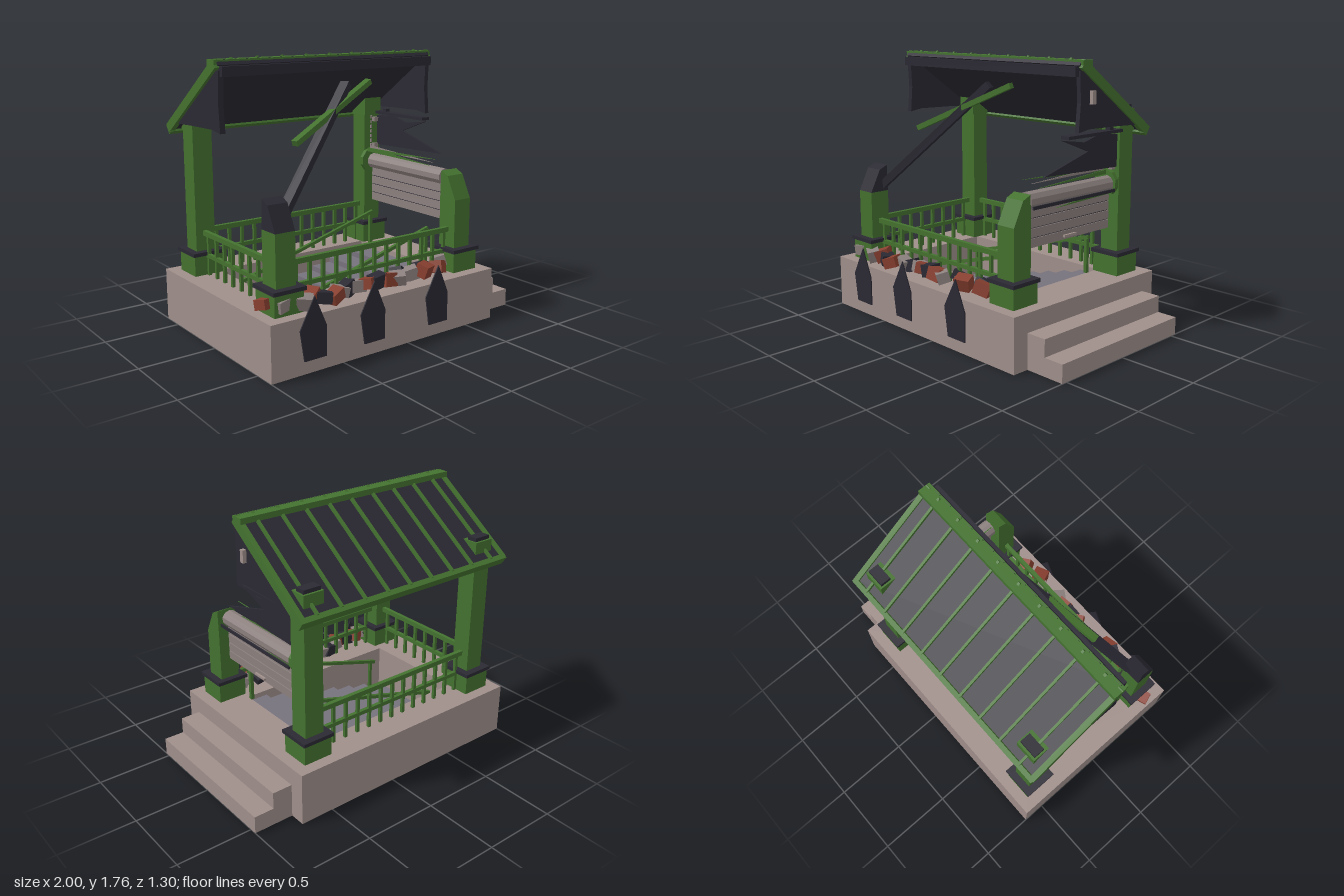
import * as THREE from 'three';

const paint = (color) => new THREE.MeshStandardMaterial({ color, side: THREE.DoubleSide, flatShading: true });

export function createModel() {
  const root = new THREE.Group();
  const stone = paint(0xa08f8b), green = paint(0x44722f), dark = paint(0x2b2933);
  const brick = paint(0x8a4030), tread = paint(0x77727c), slate = paint(0x8c817f);

  const add = (name, geo, mat, parent = root) => {
    const m = new THREE.Mesh(geo, mat);
    m.name = name;
    parent.add(m);
    return m;
  };
  // Box from its minimum and maximum corners
  const box = (name, mat, x0, x1, y0, y1, z0, z1, parent = root) => {
    const m = add(name, new THREE.BoxGeometry(x1 - x0, y1 - y0, z1 - z0), mat, parent);
    m.position.set((x0 + x1) / 2, (y0 + y1) / 2, (z0 + z1) / 2);
    return m;
  };
  // Square bar between two points
  const bar = (name, mat, a, b, w, h = w) => {
    const p = new THREE.Vector3(...a), q = new THREE.Vector3(...b);
    const m = add(name, new THREE.BoxGeometry(w, h, p.distanceTo(q)), mat);
    m.position.copy(p).lerp(q, 0.5);
    m.lookAt(q);
    return m;
  };
  const polygon = (pts) => new THREE.Shape(pts.map(([x, y]) => new THREE.Vector2(x, y)));
  // Plate with a (z, y) outline, thickened along x
  const sidePlate = (name, mat, pts, x0, x1) => {
    const g = new THREE.ExtrudeGeometry(polygon(pts), { depth: x1 - x0, bevelEnabled: false });
    const m = add(name, g, mat);
    m.rotation.y = -Math.PI / 2;
    m.position.x = x1;
    return m;
  };

  // Platform with the stairwell cut through it
  const slab = polygon([[-1, -0.645], [0.73, -0.645], [0.73, 0.65], [-1, 0.65]]);
  slab.holes.push(polygon([[-0.73, -0.32], [-0.73, 0.41], [0.46, 0.41], [0.46, -0.32]]));
  add('platform', new THREE.ExtrudeGeometry(slab, { depth: 0.345, bevelEnabled: false }), stone).rotation.x = -Math.PI / 2;
  box('entranceStepUpper', stone, 0.73, 0.865, 0, 0.225, -0.545, 0.535);
  box('entranceStepLower', stone, 0.865, 1, 0, 0.115, -0.545, 0.535);

  // Stairs going down towards -x
  box('stairwellFloor', paint(0x15151a), -0.73, 0.46, 0.004, 0.012, -0.41, 0.32);
  for (let i = 0; i < 8; i++) {
    const x1 = 0.46 - i * 0.14875;
    box('stairTread', tread, x1 - 0.14875, x1, 0.012, 0.31 - i * 0.037, -0.41, 0.32);
  }
  for (const z of [-0.3, 0.29]) {
    bar('stairHandrail', green, [0.47, 0.59, z], [-0.65, 0.27, z], 0.022);
    box('handrailPost', green, 0.44, 0.464, 0.345, 0.59, z - 0.012, z + 0.012);
    box('handrailPost', green, -0.62, -0.6, 0.03, 0.28, z - 0.01, z + 0.01);
  }

  // Corner plinths and posts
  for (const x of [-0.825, 0.55]) {
    for (const z of [-0.475, 0.47]) {
      box('plinth', green, x - 0.1, x + 0.1, 0.345, 0.476, z - 0.1, z + 0.1);
      box('plinthCap', dark, x - 0.112, x + 0.112, 0.476, 0.5, z - 0.112, z + 0.112);
    }
    box('rearPost', green, x - 0.067, x + 0.067, 0.5, 1.37, -0.54, -0.41);
    box('postHead', green, x - 0.072, x + 0.072, 1.28, 1.425, -0.545, -0.4);
    box('postHeadCap', dark, x - 0.06, x + 0.06, 1.425, 1.45, -0.53, -0.46);
    sidePlate('brokenFrontPost', green, [[0.535, 0.5], [0.535, 0.82], [0.395, 0.82], [0.395, 0.5]], x - 0.067, x + 0.067);
    sidePlate('brokenPostTop', x < 0 ? dark : green, [[0.535, 0.82], [0.46, 0.97], [0.40, 0.998], [0.395, 0.82]], x - 0.067, x + 0.067);
  }

  // Railings on the front, the back and the closed side
  const railing = (a, b, count) => {
    const at = (p, y) => [p[0], y, p[1]];
    bar('topRail', green, at(a, 0.617), at(b, 0.617), 0.028, 0.032);
    bar('lowerRail', green, at(a, 0.475), at(b, 0.475), 0.024, 0.026);
    for (let i = 0; i < count; i++) {
      const t = (i + 0.5) / count;
      const x = a[0] + (b[0] - a[0]) * t, z = a[1] + (b[1] - a[1]) * t;
      box('baluster', green, x - 0.01, x + 0.01, 0.345, 0.61, z - 0.01, z + 0.01);
    }
  };
  railing([-0.76, 0.465], [0.5, 0.465], 13);
  railing([-0.76, -0.475], [0.5, -0.475], 13);
  railing([-0.83, -0.41], [-0.83, 0.4], 8);

  // Surviving rear slope of the roof
  const roof = new THREE.Group();
  roof.name = 'roof';
  roof.position.set(0, 1.745, 0);
  roof.rotation.x = -0.615;
  root.add(roof);
  box('roofSheet', dark, -0.95, 0.67, -0.05, -0.012, -0.74, 0.03, roof);
  box('eave', green, -0.965, 0.69, -0.065, 0, -0.765, -0.73, roof);
  for (const [x0, x1] of [[-0.97, -0.935], [0.655, 0.69]]) box('verge', green, x0, x1, -0.06, 0, -0.75, 0.02, roof);
  for (let i = 0; i < 9; i++) {
    const x = -0.84 + i * 0.176;
    box('roofRib', green, x - 0.008, x + 0.008, -0.015, 0.008, -0.74, 0.02, roof);
  }
  box('ridgeBeam', green, -0.97, 0.69, 1.715, 1.752, -0.045, 0.04);
  box('ridgeRemnant', dark, -0.94, 0.665, 1.655, 1.715, 0.02, 0.08);
  const gable = [[0.05, 1.69], [0.04, 1.5], [0.055, 1.325], [-0.04, 1.34], [-0.3, 1.335], [-0.54, 1.325], [-0.02, 1.69]];
  sidePlate('gable', dark, gable, -0.95, -0.915);
  sidePlate('gable', dark, gable, 0.645, 0.675);
  box('wallLamp', stone, 0.675, 0.7, 1.49, 1.57, -0.07, -0.04);

  // Fallen rafters
  bar('fallenRafter', dark, [-0.79, 0.85, 0.42], [-0.06, 1.57, 0.085], 0.06, 0.05);
  bar('fallenBatten', green, [-0.57, 1.26, 0.26], [0.13, 1.575, 0.075], 0.045, 0.035);

  // Half-rolled shutter over the entrance
  for (let i = 0; i < 4; i++) {
    const y = 0.655 + i * 0.061;
    box('shutterSlat', slate, 0.535, 0.56, y, y + 0.055, -0.385, 0.37);
  }
  box('shutterCore', dark, 0.54, 0.553, 0.66, 0.91, -0.38, 0.365);
  box('shutterHandle', stone, 0.56, 0.575, 0.67, 0.685, -0.055, 0.05);
  const roll = add('shutterRoll', new THREE.CylinderGeometry(0.055, 0.055, 0.755, 10), slate);
  roll.rotation.x = Math.PI / 2;
  roll.position.set(0.545, 0.945, -0.007);
  const bracket = add('rollBracket', new THREE.CylinderGeometry(0.088, 0.088, 0.03, 10), green);
  bracket.rotation.x = Math.PI / 2;
  bracket.position.set(0.53, 0.95, -0.395);
  bar('rollEdge', dark, [0.61, 0.91, -0.38], [0.61, 0.91, 0.37], 0.01, 0.02);
  // Torn shreds above and below the roll
  [[1.06, 1.03], [1.03, 1.045], [1.0, 1.02], [0.99, 0.965], [0.87, 0.9]].forEach(([tip, end], i) => {
    sidePlate('shutterShred', i % 2 ? slate : green,
      [[0.34 - i * 0.05, tip], [-0.38, end + 0.014], [-0.38, end - 0.014]], 0.49 + i * 0.02, 0.496 + i * 0.02);
  });
  // Links of the pull chain
  for (let i = 0; i < 7; i++) box('chainLink', slate, 0.515, 0.525, 1.05 + i * 0.034, 1.073 + i * 0.034, -0.385, -0.375);
  for (const y of [1.04, 1.23]) box('chainGuide', slate, 0.55, 0.585, y, y + 0.03, -0.41, -0.38);

  // Torn blank signboard and its hanging bar
  sidePlate('tornSignboard', dark,
    [[0.27, 1.08], [-0.12, 1.19], [0.12, 1.28], [-0.08, 1.25], [-0.22, 1.285], [-0.4, 1.27], [-0.4, 1.06]], 0.59, 0.605);
  box('signBar', dark, 0.575, 0.64, 1.285, 1.305, -0.41, 0.1);
  box('signBarClamp', dark, 0.59, 0.625, 1.305, 1.325, -0.335, -0.3);

  // Pointed plates leaning on the front wall
  const plate = polygon([[-0.063, 0.08], [0.092, 0.08], [0.092, 0.27], [0.01, 0.46], [-0.092, 0.27]]);
  for (const x of [-0.72, -0.287, 0.228]) {
    add('pointedPlate', new THREE.ExtrudeGeometry(plate, { depth: 0.008, bevelEnabled: false }), dark).position.set(x, 0, 0.647);
  }

  // Rubble along the front edge
  let seed = 7;
  const rnd = () => (seed = (seed * 16807) % 2147483647) / 2147483647;
  const rubbleMats = [brick, slate, dark, slate, brick, dark];
  for (let i = 0; i < 20; i++) {
    const m = add('rubble', new THREE.BoxGeometry(0.1, 0.06 + rnd() * 0.025, 0.08), rubbleMats[i % 6]);
    m.position.set(-0.93 + i * 0.071, 0.385 + rnd() * 0.03, 0.44 + rnd() * 0.13);
    m.rotation.set(rnd() * 0.8 - 0.4, rnd() * 1.4 - 0.7, rnd() * 0.8 - 0.4);
  }
  return root;
}
